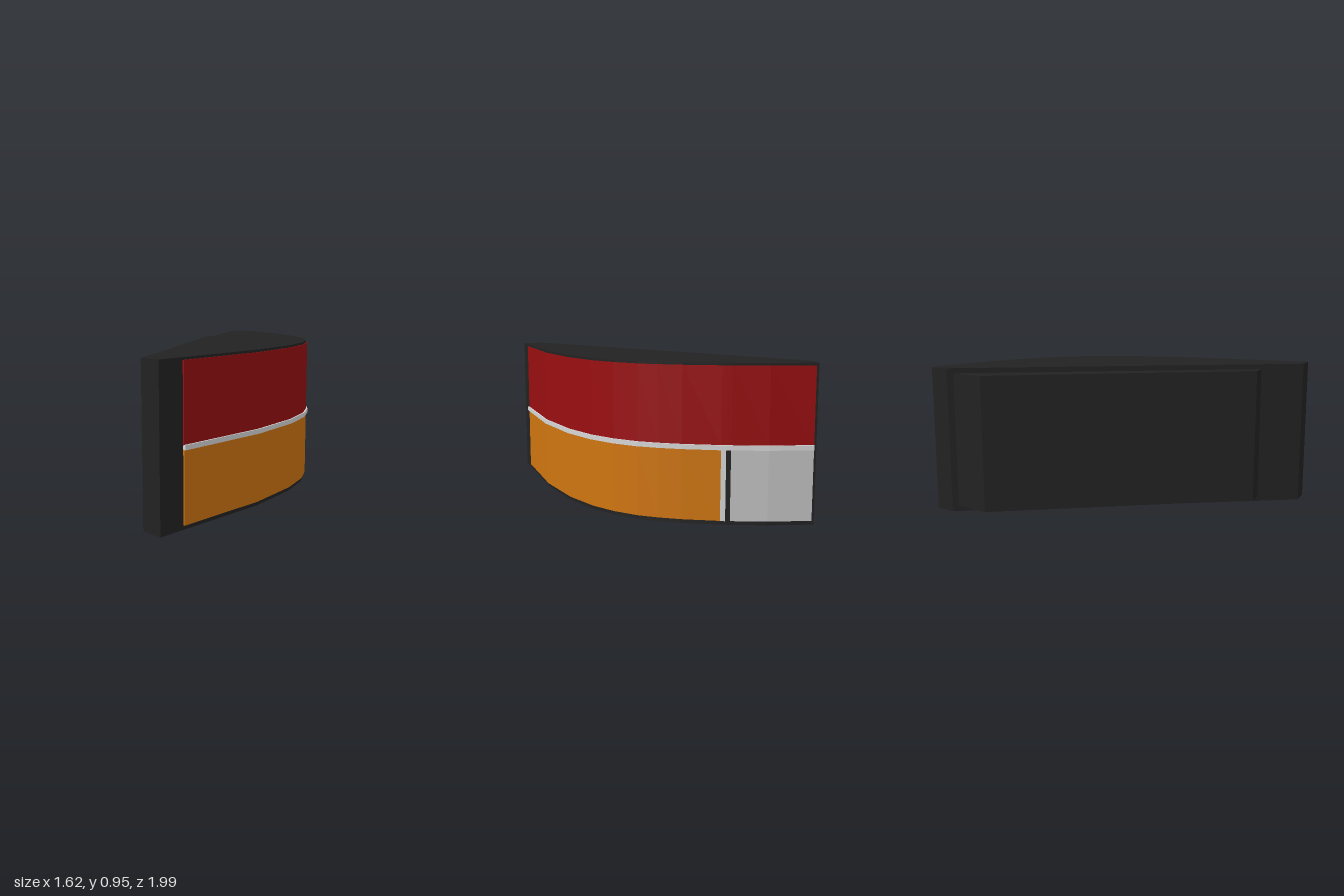
import * as THREE from 'three';

const mat = (name, color) => Object.assign(new THREE.MeshStandardMaterial({ color }), { name });

// Plan of the curved face, as [x, z] from the inner end to the outer end
const curve = [
  [-0.79, -0.98], [-0.53, -0.95], [-0.32, -0.903], [-0.293, -0.896], [-0.265, -0.888], [-0.05, -0.815],
  [0.08, -0.755], [0.19, -0.69], [0.315, -0.58], [0.43, -0.435], [0.55, -0.205], [0.675, 0.18], [0.78, 0.805],
];

// Upright prism over a plan polygon, from height y0 to y1
function prism(name, plan, y0, y1, material) {
  const shape = new THREE.Shape(plan.map(([x, z]) => new THREE.Vector2(x, -z)));
  const geo = new THREE.ExtrudeGeometry(shape, { depth: y1 - y0, bevelEnabled: false });
  geo.rotateX(-Math.PI / 2).translate(0, y0, 0);
  const mesh = new THREE.Mesh(geo, material);
  mesh.name = name;
  return mesh;
}

// Curve pushed outwards by d along its averaged normals
function offset(d) {
  return curve.map(([x, z], i) => {
    const a = curve[Math.max(i - 1, 0)], b = curve[Math.min(i + 1, curve.length - 1)];
    const dx = b[0] - a[0], dz = b[1] - a[1], l = Math.hypot(dx, dz);
    return [x + (dz / l) * d, z - (dx / l) * d];
  });
}

// Band following the curve between two of its points
function band(name, from, to, d, y0, y1, material) {
  const outer = offset(d).slice(from, to + 1);
  const inner = offset(-0.01).slice(from, to + 1).reverse();
  return prism(name, [...outer, ...inner], y0, y1, material);
}

export function createModel() {
  const black = mat('black housing', 0x222222);
  const red = mat('red lens', 0x990e10);
  const amber = mat('amber lens', 0xcf7510);
  const clear = mat('clear lens', 0xc2c2c2);
  const silver = mat('silver trim', 0xd6d6d6);
  const last = curve.length - 1;

  const group = new THREE.Group();
  group.name = 'cornerLamp';
  group.add(
    // Housing and the mounting block on its flat side
    prism('housing', [[-0.805, -0.982], ...curve, [0.81, 0.98], [0.67, 0.997], [-0.812, -0.845]], 0, 0.95, black),
    prism('mountingBlock', [[-0.785, -0.83], [-0.8, -0.573], [0.375, 0.785], [0.49, 0.77], [0.3, 0.5]], 0.035, 0.917, black),
    // Lenses
    band('redLens', 0, last, 0.008, 0.474, 0.935, red),
    band('amberLens', 4, last, 0.008, 0.025, 0.45, amber),
    band('clearLens', 0, 2, 0.008, 0.025, 0.45, clear),
    // Trim strips, with a narrow dark gap beside the upright one
    band('horizontalTrim', 0, last, 0.018, 0.448, 0.477, silver),
    band('uprightTrim', 3, 4, 0.012, 0.025, 0.45, silver),
  );
  return group;
}
